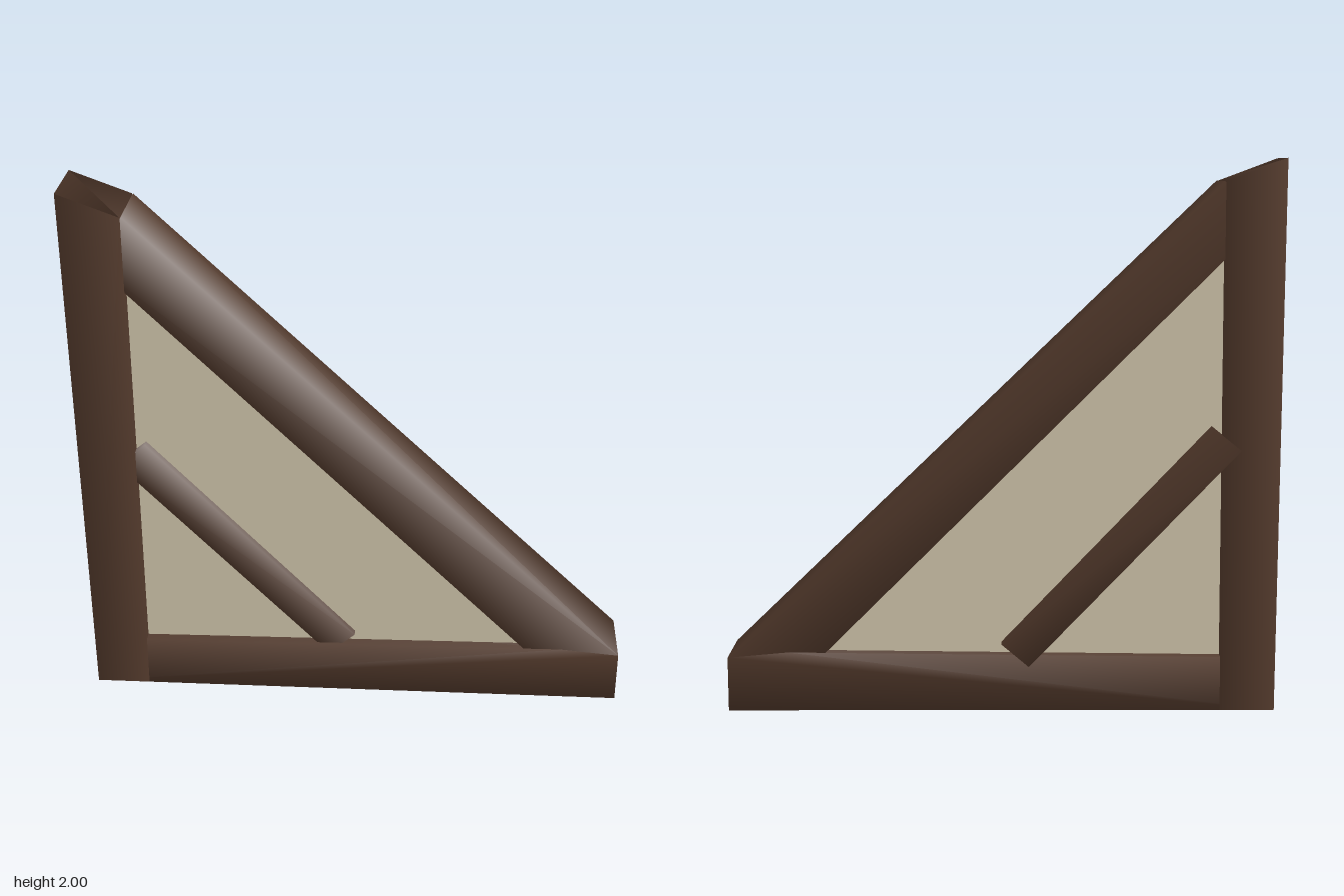
import * as THREE from 'three';
import { mergeVertices } from 'three/addons/utils/BufferGeometryUtils.js';

const wood = new THREE.MeshStandardMaterial({ color: 0x533a2c });
const plaster = new THREE.MeshStandardMaterial({ color: 0xd6cbb0 });

// Extrudes an outline in the xy plane between two depths
function slab(name, points, zBack, zFront, material, smooth) {
  const shape = new THREE.Shape(points.map(([x, y]) => new THREE.Vector2(x, y)));
  let geometry = new THREE.ExtrudeGeometry(shape, { depth: zFront - zBack, bevelEnabled: false });
  geometry.translate(0, 0, zBack);
  if (smooth) {
    // Shared corners give the timbers their soft, rounded shading
    geometry.deleteAttribute('normal');
    geometry.deleteAttribute('uv');
    geometry = mergeVertices(geometry);
    geometry.computeVertexNormals();
  }
  const mesh = new THREE.Mesh(geometry, material);
  mesh.name = name;
  return mesh;
}

export function createModel() {
  const group = new THREE.Group();
  group.name = 'triangularWallFrame';
  const d = 0.118;

  // Outer timbers: upright, sill and sloping rafter
  group.add(slab('uprightPost',
    [[-0.999, 0.002], [-0.8, 0.002], [-0.785, 1.92], [-0.999, 2]], -d, d, wood, true));
  group.add(slab('bottomBeam',
    [[-0.999, 0.001], [1, 0.001], [1, 0.2], [0.78, 0.22], [-0.999, 0.2]], -d + 0.001, d - 0.001, wood, true));
  group.add(slab('slopingBeam',
    [[-0.92, 1.78], [0.66, 0.2], [0.8, 0.06], [1, 0.2], [-0.78, 1.92]], -d + 0.002, d - 0.002, wood, true));

  // Short diagonal brace across the lower corner
  group.add(slab('diagonalBrace',
    [[-0.86, 0.965], [-0.1, 0.165], [0, 0.25], [-0.755, 1.05]], -d - 0.001, d - 0.01, wood, true));

  // Infill panel, and its edge showing along the outer side and the underside
  group.add(slab('infillPanel',
    [[-0.9, 0.1], [0.85, 0.1], [-0.85, 1.8], [-0.9, 1.8]], -0.08, 0.08, plaster, false));
  group.add(slab('infillPanelEdge',
    [[-1, 0], [0.98, 0], [0.98, 0.12], [-0.9, 1.85], [-1, 1.95]], -0.02, 0.079, plaster, false));
  return group;
}
